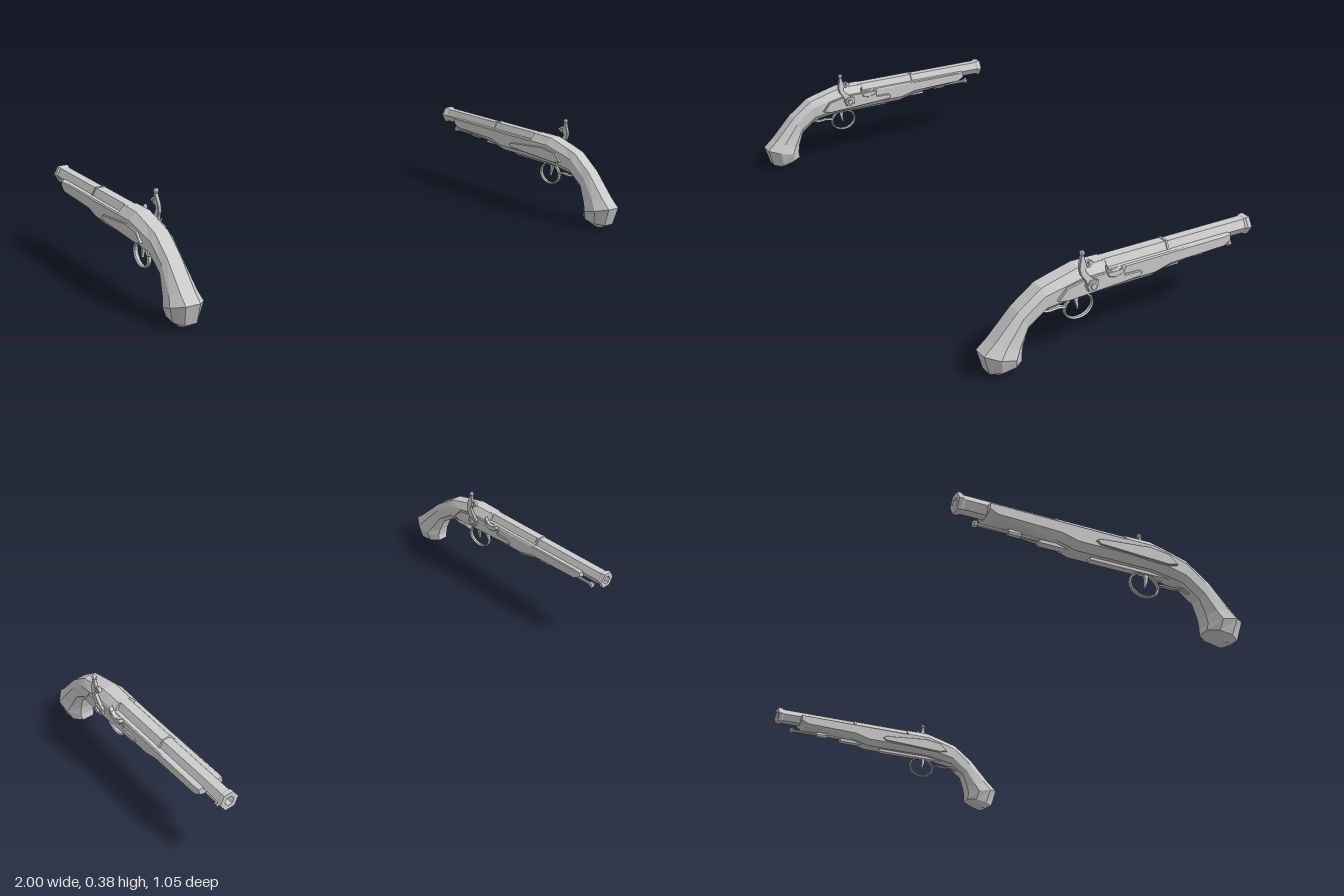
import * as THREE from 'three';

const mat = new THREE.MeshStandardMaterial({ color: 0xcccccc, flatShading: true, side: THREE.DoubleSide });

function add(parent, name, geometry) {
  const mesh = new THREE.Mesh(geometry, mat);
  mesh.name = name;
  parent.add(mesh);
  return mesh;
}

// Eight-sided loft. Station: top [z, y], bottom [z, y], half width,
// half widths of top and bottom flats, heights of the two side edges (0 top, 1 bottom)
function loft(stations) {
  const pos = [], index = [];
  for (const [[tz, ty], [bz, by], w, wt, wb, fa, fb] of stations) {
    const half = [[wt, 0], [w, fa], [w, fb], [wb, 1]];
    const ring = [...half, ...half.slice().reverse().map(([x, f]) => [-x, f])];
    for (const [x, f] of ring) pos.push(x, ty + (by - ty) * f, tz + (bz - tz) * f);
  }
  const last = (stations.length - 1) * 8;
  for (let i = 0; i < last; i += 8) {
    for (let k = 0; k < 8; k++) {
      const a = i + k, b = i + (k + 1) % 8;
      index.push(a, b, b + 8, a, b + 8, a + 8);
    }
  }
  for (let k = 1; k < 7; k++) index.push(0, k + 1, k, last, last + k, last + k + 1);
  const g = new THREE.BufferGeometry();
  g.setAttribute('position', new THREE.Float32BufferAttribute(pos, 3));
  g.setIndex(index);
  g.computeVertexNormals();
  return g;
}

// Side outline of [z, y] points, extruded along x from x0
function plate(points, x0, depth, bevel = 0, hole) {
  const shape = new THREE.Shape(points.map(([z, y]) => new THREE.Vector2(-z, y)));
  if (hole) shape.holes.push(new THREE.Path().absarc(-hole[0], hole[1], hole[2], 0, Math.PI * 2, true));
  const g = new THREE.ExtrudeGeometry(shape, {
    depth, curveSegments: 6, bevelEnabled: bevel > 0, bevelSize: bevel,
    bevelThickness: bevel, bevelOffset: -bevel, bevelSegments: 1,
  });
  return g.rotateY(Math.PI / 2).translate(x0, 0, 0);
}

// Turned part along the barrel direction; profile [radius, z] from breech to muzzle
function turned(profile, y, sides) {
  const g = new THREE.LatheGeometry(profile.map(([r, z]) => new THREE.Vector2(r, -z)), sides, Math.PI / 2);
  return g.rotateX(-Math.PI / 2).translate(0, y, 0);
}

// Bar following [z, y] points in the middle plane, widened across x
function bar(points, radius, widen, closed = false) {
  const curve = new THREE.CatmullRomCurve3(points.map(([z, y]) => new THREE.Vector3(0, y, z)), closed);
  return new THREE.TubeGeometry(curve, closed ? 24 : 10, radius, 6, closed).scale(widen, 1, 1);
}

function block(w, h, d, x, y, z) {
  return new THREE.BoxGeometry(w, h, d).translate(x, y, z);
}

function createPistol() {
  const p = new THREE.Group();

  // Stock: butt cap, curved grip, body and fore-end
  add(p, 'stock', loft([
    [[0.475, 0.004], [0.445, 0.006], 0.022, 0.012, 0.012, 0.3, 0.7],
    [[0.503, 0.02], [0.383, 0.034], 0.045, 0.022, 0.022, 0.3, 0.72],
    [[0.525, 0.092], [0.387, 0.058], 0.06, 0.026, 0.026, 0.32, 0.72],
    [[0.488, 0.125], [0.382, 0.09], 0.05, 0.025, 0.024, 0.3, 0.75],
    [[0.402, 0.217], [0.362, 0.145], 0.039, 0.024, 0.022, 0.3, 0.75],
    [[0.318, 0.279], [0.302, 0.191], 0.041, 0.024, 0.022, 0.28, 0.77],
    [[0.25, 0.298], [0.245, 0.2], 0.046, 0.024, 0.024, 0.27, 0.78],
    [[0.18, 0.316], [0.18, 0.209], 0.048, 0.024, 0.026, 0.26, 0.78],
    [[0.08, 0.316], [0.08, 0.209], 0.048, 0.022, 0.026, 0.26, 0.78],
    [[0.078, 0.291], [0.078, 0.209], 0.048, 0.044, 0.026, 0.06, 0.72],
    [[-0.108, 0.291], [-0.108, 0.209], 0.048, 0.044, 0.026, 0.06, 0.72],
    [[-0.172, 0.291], [-0.172, 0.226], 0.048, 0.044, 0.026, 0.06, 0.65],
    [[-0.396, 0.291], [-0.396, 0.245], 0.048, 0.044, 0.026, 0.06, 0.8],
    [[-0.422, 0.291], [-0.422, 0.264], 0.046, 0.042, 0.03, 0.06, 0.8],
  ]));

  // Six-sided barrel with flared muzzle and bore
  add(p, 'barrel', turned([
    [0.0325, 0.1], [0.0325, -0.165], [0.035, -0.167], [0.035, -0.174], [0.0305, -0.176],
    [0.0305, -0.5], [0.036, -0.508], [0.036, -0.523], [0.018, -0.523], [0.017, -0.42], [0, -0.42],
  ], 0.288, 6));

  // Lock plate and the matching plate on the other side
  add(p, 'lockPlate', plate([
    [0.272, 0.232], [0.238, 0.222], [-0.038, 0.236], [-0.05, 0.241], [-0.05, 0.253],
    [-0.038, 0.259], [0.018, 0.26], [0.018, 0.288], [0.16, 0.288], [0.24, 0.27],
  ], 0.036, 0.016, 0.003));
  add(p, 'sidePlate', plate([
    [0.265, 0.235], [0.23, 0.226], [-0.03, 0.237], [-0.045, 0.248], [-0.03, 0.258], [0.16, 0.276], [0.235, 0.266],
  ], -0.053, 0.012, 0.002));

  // Flintlock hammer, leaning inwards towards its top
  const lock = new THREE.Group();
  lock.name = 'flintlock';
  p.add(lock);
  const hammer = plate([
    [0.169, 0.246], [0.133, 0.251], [0.13, 0.276], [0.15, 0.288], [0.164, 0.302], [0.175, 0.316],
    [0.175, 0.327], [0.161, 0.327], [0.144, 0.341], [0.161, 0.352], [0.175, 0.346], [0.181, 0.372],
    [0.191, 0.372], [0.197, 0.347], [0.2, 0.33], [0.195, 0.307], [0.183, 0.291], [0.175, 0.276],
  ], 0.056, 0.01, 0.0015, [0.168, 0.339, 0.005]);
  const v = hammer.attributes.position;
  for (let i = 0; i < v.count; i++) v.setX(i, v.getX(i) - 0.13 * (v.getY(i) - 0.265));
  hammer.computeVertexNormals();
  add(lock, 'hammer', hammer);
  add(lock, 'hammerKnob', new THREE.SphereGeometry(0.01, 8, 6).translate(0.048, 0.379, 0.186));
  for (const [name, r, length, x] of [['hammerHub', 0.025, 0.024, 0.058], ['hammerScrew', 0.013, 0.012, 0.071]]) {
    add(lock, name, new THREE.CylinderGeometry(r * 0.85, r, length, 6)
      .rotateZ(-Math.PI / 2).translate(x, 0.264, 0.153));
  }

  // Priming pan and the curved striking plate above it
  add(lock, 'pan', plate([
    [0.092, 0.288], [0.085, 0.272], [0.06, 0.264], [0.03, 0.272], [0.018, 0.288],
  ], 0.046, 0.012, 0.002));
  add(lock, 'strikingPlate', plate([
    [0.091, 0.31], [0.082, 0.294], [0.062, 0.285], [0.032, 0.293], [0.04, 0.276], [0.07, 0.271], [0.09, 0.286],
  ], 0.044, 0.014));

  // Trigger, guard bow with tail, and strap along the belly
  const guard = [];
  for (let i = 0; i < 12; i++) {
    const a = i / 12 * Math.PI * 2;
    guard.push([0.16 + 0.054 * Math.cos(a), 0.159 + 0.043 * Math.sin(a)]);
  }
  add(p, 'triggerGuard', bar(guard, 0.0045, 2, true));
  add(p, 'guardTail', bar([[0.21, 0.169], [0.24, 0.175], [0.275, 0.173], [0.305, 0.179], [0.335, 0.168]], 0.005, 2));
  add(p, 'trigger', plate([
    [0.178, 0.21], [0.175, 0.18], [0.163, 0.148], [0.16, 0.15], [0.164, 0.18], [0.16, 0.21],
  ], -0.005, 0.01));
  add(p, 'guardStrap', block(0.024, 0.012, 0.3, 0, 0.204, 0.103));

  // Ramrod with its pipes under the barrel
  add(p, 'ramrodStrap', block(0.026, 0.012, 0.125, 0, 0.22, -0.17));
  add(p, 'ramrodPipe', turned([[0, -0.295], [0.011, -0.295], [0.011, -0.34], [0, -0.34]], 0.228, 8));
  add(p, 'pipeMount', block(0.014, 0.018, 0.04, 0, 0.236, -0.318));
  add(p, 'ramrod', turned([
    [0, -0.2], [0.0065, -0.2], [0.0065, -0.44], [0.008, -0.447], [0.012, -0.45], [0.012, -0.461], [0, -0.461],
  ], 0.229, 8));

  return p;
}

export function createModel() {
  const model = new THREE.Group();
  model.name = 'pistolPair';
  [['rightPistol', -0.94], ['leftPistol', 0.922]].forEach(([name, x]) => {
    const pistol = createPistol();
    pistol.name = name;
    pistol.position.x = x;
    model.add(pistol);
  });
  return model;
}
